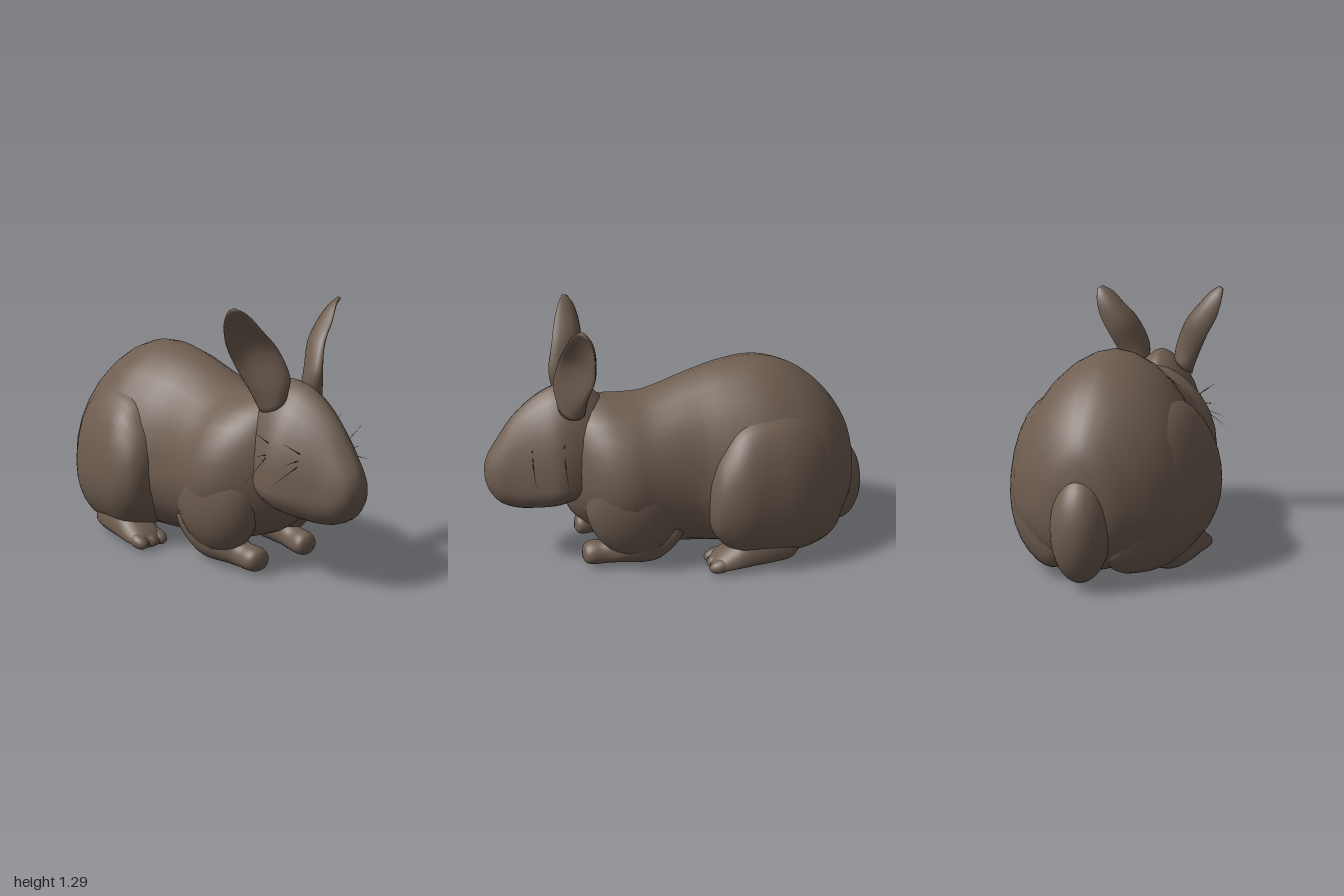
import * as THREE from 'three';

const fur = new THREE.MeshStandardMaterial({ color: 0x6e5d50 });
fur.name = 'brown fur';

// Smoothly resample rows of numbers
function resample(rows, sub) {
  const n = rows.length, size = rows[0].length;
  const spline = new THREE.CubicInterpolant(
    Float32Array.from(rows, (_, i) => i), Float32Array.from(rows.flat()), size);
  const out = [];
  for (let i = 0; i <= (n - 1) * sub; i++) {
    out.push(Array.from(spline.evaluate(Math.min(i / sub, n - 1))));
  }
  return out;
}

// Closed skin over rings of points, with a centre point capping each end
function skin(rings) {
  const seg = rings[0].length, pos = [], index = [];
  rings.forEach(r => r.forEach(p => pos.push(p.x, p.y, p.z)));
  const last = (rings.length - 1) * seg, cap = rings.length * seg;
  [rings[0], rings[rings.length - 1]].forEach(r => {
    const c = new THREE.Vector3();
    r.forEach(p => c.addScaledVector(p, 1 / seg));
    pos.push(c.x, c.y, c.z);
  });
  for (let j = 0; j < seg; j++) {
    const k = (j + 1) % seg;
    for (let i = 0; i < last; i += seg) {
      index.push(i + j, i + k, i + seg + j, i + k, i + seg + k, i + seg + j);
    }
    index.push(cap, k, j, cap + 1, last + j, last + k);
  }
  const g = new THREE.BufferGeometry();
  g.setAttribute('position', new THREE.Float32BufferAttribute(pos, 3));
  g.setIndex(index);
  g.computeVertexNormals();
  return g;
}

// Egg-shaped sections along z: [z, bottom, top, half width, height of widest point, centre x]
// The powers pinch (above 1) or fill out (below 1) the upper and lower halves
function loftZ(rows, side = 1, upperPower = 1, lowerPower = 1, seg = 28) {
  return skin(resample(rows, 4).map(([z, yb, yt, w, yw, xc = 0]) =>
    Array.from({ length: seg }, (_, j) => {
      const a = j / seg * Math.PI * 2, c = Math.cos(a), s = Math.sin(a);
      const x = Math.sign(c) * Math.pow(Math.abs(c), s < 0 ? lowerPower : upperPower) * w;
      return new THREE.Vector3(xc * side + x, yw + s * (s > 0 ? yt - yw : yw - yb), z);
    })));
}

// Cupped leaf swept along its stem: [x, y, z, half width, cup depth, thickness]
function earGeometry(side) {
  const T = new THREE.Vector3(0.55, 0.83, 0).normalize();
  const N = new THREE.Vector3(0.58, -0.385, 0.7).normalize();
  const W = new THREE.Vector3().crossVectors(T, N).normalize();
  const rows = [
    [0.125, 0.84, 0.565, 0.07, 0.0, 0.06],
    [0.14, 0.94, 0.56, 0.098, 0.02, 0.048],
    [0.185, 1.075, 0.515, 0.105, 0.045, 0.03],
    [0.25, 1.17, 0.502, 0.088, 0.045, 0.022],
    [0.305, 1.24, 0.51, 0.06, 0.02, 0.016],
    [0.345, 1.28, 0.525, 0.02, 0.0, 0.01],
  ];
  const seg = 20;
  return skin(resample(rows, 4).map(([x, y, z, w, cup, t]) => {
    const ring = Array.from({ length: seg }, (_, j) => {
      const a = j / seg * Math.PI * 2, u = Math.sin(a);
      const p = new THREE.Vector3(x, y, z)
        .addScaledVector(N, t * Math.cos(a) + cup * u * u)
        .addScaledVector(W, w * u);
      p.x *= side;
      return p;
    });
    return side < 0 ? ring.reverse() : ring;
  }));
}

export function createModel() {
  const model = new THREE.Group();
  model.name = 'rabbit';

  const add = (name, geometry) => {
    const mesh = new THREE.Mesh(geometry, fur);
    mesh.name = name;
    model.add(mesh);
    return mesh;
  };
  const blob = (name, x, y, z, rx, ry, rz, tilt = 0) => {
    const mesh = add(name, new THREE.SphereGeometry(1, 28, 20));
    mesh.position.set(x, y, z);
    mesh.scale.set(rx, ry, rz);
    mesh.rotation.x = tilt;
  };

  // Torso from rump to chest
  add('body', loftZ([
    [-0.91, 0.28, 0.48, 0.07, 0.37],
    [-0.89, 0.18, 0.59, 0.15, 0.36],
    [-0.85, 0.11, 0.68, 0.22, 0.35],
    [-0.78, 0.06, 0.78, 0.31, 0.35],
    [-0.68, 0.045, 0.88, 0.39, 0.35],
    [-0.55, 0.04, 0.965, 0.435, 0.35],
    [-0.38, 0.035, 1.01, 0.45, 0.36],
    [-0.2, 0.035, 0.99, 0.41, 0.38],
    [-0.03, 0.04, 0.94, 0.36, 0.41],
    [0.18, 0.06, 0.865, 0.36, 0.44],
    [0.31, 0.1, 0.855, 0.37, 0.45],
    [0.42, 0.14, 0.86, 0.335, 0.46],
    [0.52, 0.19, 0.84, 0.25, 0.48],
    [0.59, 0.26, 0.74, 0.16, 0.47],
    [0.615, 0.34, 0.6, 0.07, 0.47],
  ], 1, 1.15));

  // Head tapering to the muzzle
  add('head', loftZ([
    [0.36, 0.5, 0.8, 0.1, 0.62],
    [0.46, 0.39, 0.905, 0.19, 0.54],
    [0.55, 0.355, 0.94, 0.225, 0.48],
    [0.65, 0.325, 0.925, 0.235, 0.46],
    [0.75, 0.31, 0.87, 0.195, 0.45],
    [0.85, 0.31, 0.78, 0.145, 0.44],
    [0.93, 0.34, 0.67, 0.11, 0.45],
    [0.98, 0.4, 0.59, 0.07, 0.48],
    [1.0, 0.46, 0.53, 0.025, 0.495],
  ], 1, 1.25, 0.8));

  blob('tail', 0, 0.27, -0.855, 0.135, 0.24, 0.14, 0.08);

  for (const side of [1, -1]) {
    const label = side > 0 ? 'left' : 'right';

    add(label + 'Ear', earGeometry(side));

    // Thigh that swells out of the rump and ends steeply at the knee
    add(label + 'Haunch', loftZ([
      [-0.84, 0.14, 0.42, 0.06, 0.28, 0.12],
      [-0.78, 0.06, 0.56, 0.13, 0.3, 0.16],
      [-0.65, 0.03, 0.72, 0.195, 0.33, 0.215],
      [-0.5, 0.02, 0.8, 0.23, 0.35, 0.24],
      [-0.35, 0.03, 0.8, 0.235, 0.36, 0.255],
      [-0.22, 0.06, 0.75, 0.235, 0.37, 0.265],
      [-0.12, 0.15, 0.63, 0.19, 0.38, 0.28],
      [-0.075, 0.24, 0.52, 0.12, 0.38, 0.3],
      [-0.06, 0.33, 0.43, 0.04, 0.38, 0.31],
    ], side));

    blob(label + 'Shoulder', side * 0.2, 0.36, 0.27, 0.165, 0.3, 0.26);

    // Foreleg from elbow to paw
    add(label + 'Foreleg', loftZ([
      [0.03, 0.2, 0.3, 0.03, 0.25, 0.25],
      [0.09, 0.1, 0.33, 0.08, 0.2, 0.22],
      [0.17, 0.025, 0.32, 0.09, 0.15, 0.2],
      [0.26, 0.015, 0.3, 0.09, 0.13, 0.2],
      [0.36, 0.02, 0.22, 0.08, 0.1, 0.185],
      [0.43, 0.015, 0.145, 0.062, 0.075, 0.172],
      [0.5, 0.015, 0.135, 0.068, 0.07, 0.165],
      [0.535, 0.025, 0.12, 0.055, 0.07, 0.162],
      [0.55, 0.05, 0.09, 0.02, 0.07, 0.162],
    ], side));

    // Flat hind foot with toes
    add(label + 'HindFoot', loftZ([
      [-0.56, 0.05, 0.14, 0.05, 0.09, 0.28],
      [-0.5, 0.005, 0.18, 0.1, 0.08, 0.29],
      [-0.4, 0, 0.22, 0.12, 0.08, 0.3],
      [-0.28, 0.005, 0.2, 0.115, 0.07, 0.32],
      [-0.18, 0.008, 0.135, 0.105, 0.05, 0.335],
      [-0.11, 0.01, 0.09, 0.09, 0.04, 0.34],
      [-0.07, 0.015, 0.05, 0.06, 0.03, 0.345],
    ], side));
    [0.275, 0.335, 0.395].forEach((x, i) =>
      blob(label + 'Toe' + (i + 1), side * x, 0.045, -0.12, 0.04, 0.036, 0.065, 0.25));

    // Whiskers: [start x, y, end x, y, z]
    [
      [0.18, 0.64, 0.385, 0.485, 0.62], [0.18, 0.62, 0.3, 0.63, 0.62],
      [0.18, 0.66, 0.3, 0.75, 0.62], [0.14, 0.6, 0.34, 0.53, 0.77],
      [0.14, 0.62, 0.27, 0.61, 0.77], [0.14, 0.64, 0.27, 0.72, 0.77],
    ].forEach(([x0, y0, x1, y1, z]) => {
      const a = new THREE.Vector3(side * x0, y0, z), b = new THREE.Vector3(side * x1, y1, z);
      const whisker = add(label + 'Whisker', new THREE.ConeGeometry(0.003, a.distanceTo(b), 4));
      whisker.position.lerpVectors(a, b, 0.5);
      whisker.quaternion.setFromUnitVectors(new THREE.Vector3(0, 1, 0), b.sub(a).normalize());
    });
  }
  return model;
}
